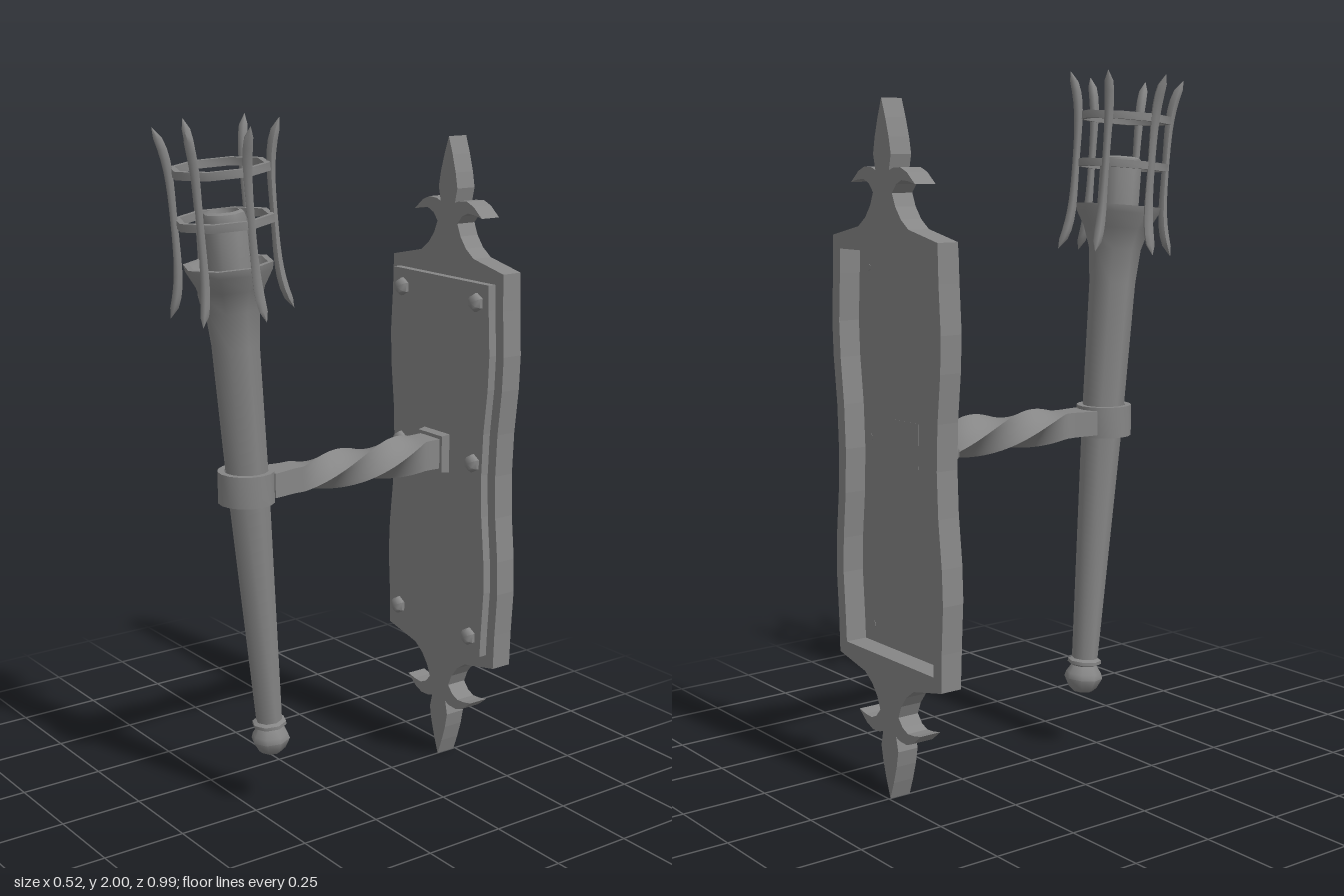
import * as THREE from 'three';
import { toCreasedNormals } from 'three/addons/utils/BufferGeometryUtils.js';

const V = (x, y) => new THREE.Vector2(x, y);
const MID_Y = 0.955; // height the back plate is mirrored about
const ARM_Y = 0.99;
const IRON = 0x868686;

export function createModel() {
  const model = new THREE.Group();
  const mat = new THREE.MeshStandardMaterial({ color: IRON });
  const matDouble = new THREE.MeshStandardMaterial({ color: IRON, side: THREE.DoubleSide });

  const add = (parent, name, geo, x = 0, y = 0, z = 0, material = mat) => {
    const mesh = new THREE.Mesh(geo, material);
    mesh.name = name;
    mesh.position.set(x, y, z);
    parent.add(mesh);
    return mesh;
  };
  const lathe = (pts, sides) =>
    toCreasedNormals(new THREE.LatheGeometry(pts.map(p => V(...p)), sides), 0.9);

  // Mirror a lower-right quarter outline into a full closed outline
  const mirrored = quarter => {
    const right = [...quarter, ...quarter.slice(0, -1).reverse().map(([x, y]) => [x, 2 * MID_Y - y])];
    const left = right.filter(p => p[0] > 0).reverse().map(([x, y]) => [-x, y]);
    return [...right, ...left].map(p => V(...p));
  };
  const extrude = (shape, depth) => new THREE.ExtrudeGeometry(shape, { depth, bevelEnabled: false });

  // Wall plate: wavy frame, open at the back, with a leaf finial at both ends
  const finial = [[0, 0], [0.018, 0.05], [0.033, 0.1], [0.042, 0.145], [0.032, 0.187], [0.05, 0.18],
    [0.085, 0.178], [0.115, 0.19], [0.152, 0.22], [0.12, 0.213], [0.09, 0.211], [0.065, 0.222],
    [0.045, 0.245], [0.06, 0.28], [0.085, 0.312], [0.12, 0.337]];
  const side = [[0.25, 0.365], [0.253, 0.47], [0.261, 0.6], [0.257, 0.7], [0.243, 0.83], [0.238, MID_Y]];
  const inset = d => side.map(([x, y], i) => [x - d, i ? y : y + d]);
  const frame = new THREE.Shape(mirrored([...finial, ...side]));
  frame.holes.push(new THREE.Path(mirrored(inset(0.036))));
  add(model, 'wallFrame', extrude(frame, 0.064), 0, 0, -0.495);
  add(model, 'wallPanel', extrude(new THREE.Shape(mirrored(inset(0.033))), 0.025), 0, 0, -0.431);

  // Rivets, running through the panel
  const rivetGeo = lathe([[0, -0.025], [0.01, -0.025], [0.01, 0], [0.027, 0], [0.027, 0.01], [0.018, 0.022], [0, 0.027]], 6);
  rivetGeo.rotateX(Math.PI / 2);
  for (const x of [-0.17, 0.17])
    for (const y of [0.451, 0.986, 1.458]) add(model, 'rivet', rivetGeo, x, y, -0.407);

  // Square foot of the arm, running through the panel
  const foot = new THREE.CylinderGeometry(0.055 * Math.SQRT2, 0.062 * Math.SQRT2, 0.052, 4, 1);
  foot.rotateY(Math.PI / 4).rotateX(Math.PI / 2);
  add(model, 'armFoot', toCreasedNormals(foot, 0.3), 0, ARM_Y, -0.406);

  // Arm: tapering square bar with a half-turn twist, widened at the collar
  const z0 = -0.39, z1 = 0.205;
  const arm = new THREE.BoxGeometry(2, 2, 1, 6, 6, 48);
  const ap = arm.attributes.position;
  for (let i = 0; i < ap.count; i++) {
    const t = ap.getZ(i) + 0.5;
    const z = z0 + (z1 - z0) * t;
    const half = 0.045 - 0.01 * t;
    const a = -Math.PI * THREE.MathUtils.clamp((z + 0.33) / 0.43, 0, 1);
    const flare = 1 + 0.4 * THREE.MathUtils.clamp((z - 0.13) / 0.07, 0, 1);
    const x = ap.getX(i) * half, y = ap.getY(i) * half;
    ap.setXYZ(i, (x * Math.cos(a) - y * Math.sin(a)) * flare, x * Math.sin(a) + y * Math.cos(a), z);
  }
  add(model, 'twistedArm', toCreasedNormals(arm, 0.9), 0, ARM_Y, 0);

  // Collar holding the torch
  add(model, 'collar', lathe([[0.062, -0.045], [0.08, -0.045], [0.08, 0.045], [0.062, 0.045], [0.062, -0.045]], 16),
    0, ARM_Y, 0.27);

  // Torch, leaning forward
  const torch = new THREE.Group();
  torch.name = 'torch';
  torch.position.set(0, 0.175, 0.193);
  torch.rotation.x = 0.087;
  model.add(torch);

  add(torch, 'pommel', lathe([[0, 0], [0.03, 0.001], [0.042, 0.012], [0.057, 0.042], [0.052, 0.058],
    [0.037, 0.08], [0.05, 0.086], [0.05, 0.096], [0.038, 0.102]], 8));
  add(torch, 'shaftAndBowl', lathe([[0.038, 0.09], [0.06, 0.82], [0.067, 1.22], [0.076, 1.32], [0.095, 1.38],
    [0.12, 1.425], [0.124, 1.445], [0.108, 1.445], [0.085, 1.405], [0.055, 1.385], [0, 1.38]], 8),
  0, 0, 0, matDouble);
  add(torch, 'burner', lathe([[0.06, 1.37], [0.06, 1.565], [0.056, 1.58], [0.043, 1.585], [0.04, 1.57], [0, 1.57]], 8));

  // Cage hoops
  for (const y of [1.56, 1.695]) {
    const r = 0.128, w = 0.008, h = 0.011;
    add(torch, 'cageHoop', lathe([[r - w, y - h], [r + w, y - h], [r + w, y + h], [r - w, y + h], [r - w, y - h]], 8));
  }

  // Cage prongs: slim bars that swell towards both ends, then curl outwards to a point
  const prong = new THREE.CylinderGeometry(1, 1, 1, 6, 18);
  const pp = prong.attributes.position;
  for (let i = 0; i < pp.count; i++) {
    const t = pp.getY(i) + 0.5;
    const u = Math.min(1, Math.abs(2 * t - 1)); // 0 in the middle, 1 at the tips
    const thick = (0.0105 + 0.009 * u * u) * Math.sqrt(1 - u ** 6) + 0.0005;
    const reach = 0.132 + 0.034 * u ** 4;
    pp.setXYZ(i, reach + pp.getX(i) * thick, 1.308 + 0.507 * t, pp.getZ(i) * thick);
  }
  prong.computeVertexNormals();
  for (let k = 0; k < 6; k++) add(torch, 'cageProng', prong).rotation.y = k * Math.PI / 3;

  return model;
}
